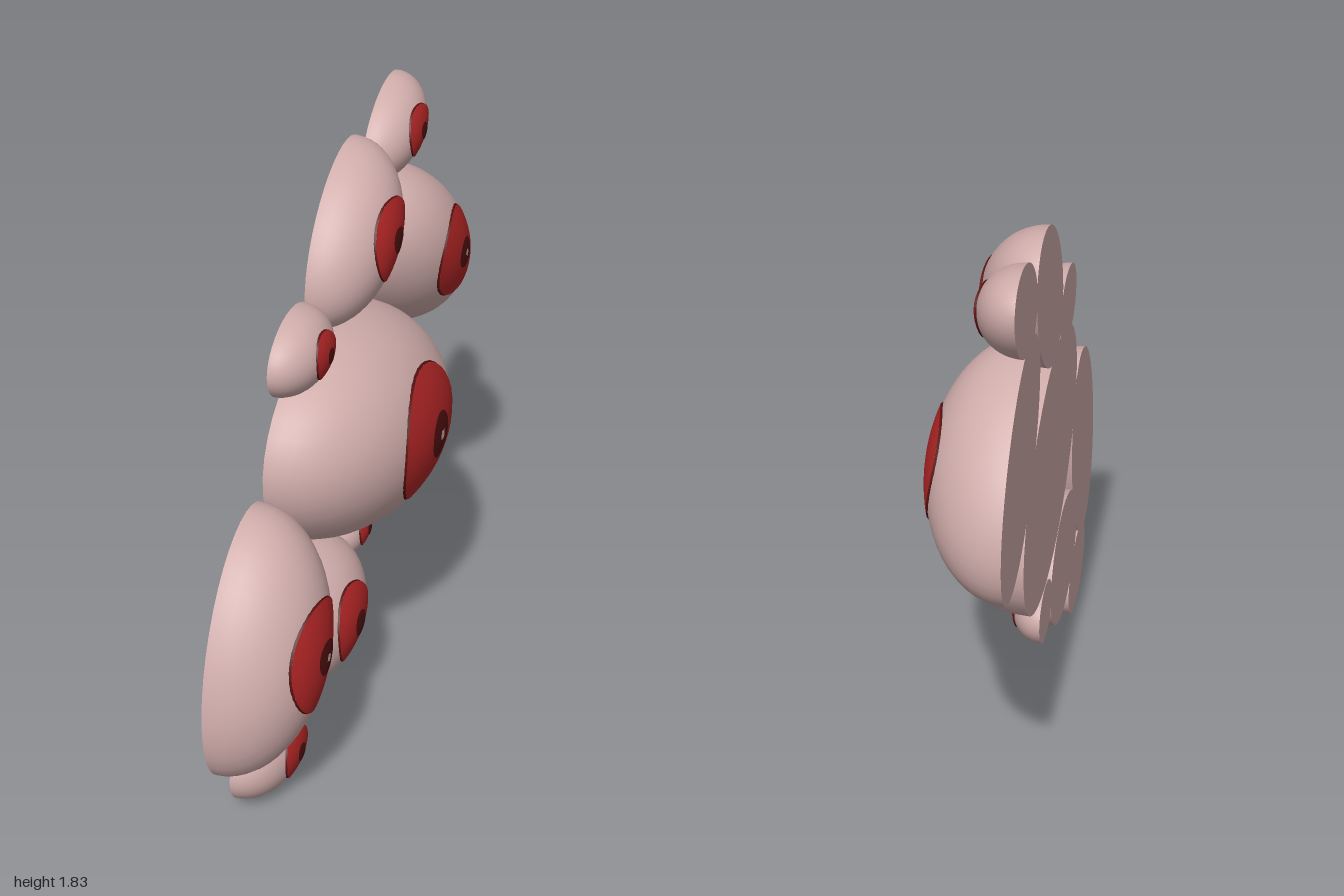
import * as THREE from 'three';

const skin = new THREE.MeshStandardMaterial({ name: 'paleSkin', color: 0xcfacaa });
const red = new THREE.MeshStandardMaterial({ name: 'irisRed', color: 0xb02525 });
const maroon = new THREE.MeshStandardMaterial({ name: 'pupilMaroon', color: 0x521010 });

// z, y of the centre, long and short half-axes, tilt in degrees
const LOBES = [
  [-0.06, 0.93, 0.556, 0.356, -10],
  [0.706, 0.604, 0.407, 0.26, 65],
  [0.267, 0.404, 0.31, 0.209, 10],
  [0.615, 0.147, 0.211, 0.141, 0],
  [-0.155, 0.462, 0.136, 0.096, 15],
  [0.254, 1.325, 0.179, 0.121, 5],
  [-0.144, 1.524, 0.31, 0.193, 41],
  [-0.666, 1.254, 0.383, 0.249, -41],
  [-0.596, 1.687, 0.211, 0.128, 25],
];

function add(group, name, geometry, material) {
  const mesh = new THREE.Mesh(geometry, material);
  mesh.name = name;
  group.add(mesh);
}

// Ring laid over the dome; p and q are its outer radii as shares of the half-axes
function domePatch(a, b, c, p, q, inner, rings, lift, edgeLift = lift) {
  const geo = new THREE.RingGeometry(inner, 1, 36, rings);
  const pos = geo.attributes.position;
  for (let i = 0; i < pos.count; i++) {
    const x = pos.getX(i), y = pos.getY(i);
    const h = c * Math.sqrt(1 - (x * p) ** 2 - (y * q) ** 2);
    const outer = Math.hypot(x, y) > 0.999;
    pos.setXYZ(i, x * p * a, y * q * b, h + (outer ? edgeLift : lift));
  }
  geo.computeVertexNormals();
  return geo;
}

function makeLobe(a, b) {
  const lobe = new THREE.Group();
  const c = b * 1.025;
  // Half ellipsoid, closed by a flat back
  const dome = new THREE.SphereGeometry(1, 40, 14, 0, Math.PI * 2, 0, Math.PI / 2);
  add(lobe, 'dome', dome.rotateX(Math.PI / 2).scale(a, b, c), skin);
  const back = new THREE.CircleGeometry(1, 40).rotateY(Math.PI).scale(a, b, 1);
  add(lobe, 'flatBack', back, skin);
  // Eye: iris with a dark edge, pupil and glint
  const ia = 0.43 * a, ib = 0.61 * b;
  const pupil = 0.33 * (ia + ib) / 2;
  add(lobe, 'iris', domePatch(a, b, c, 0.42, 0.595, 0, 8, 0.005), red);
  add(lobe, 'irisEdge', domePatch(a, b, c, 0.43, 0.61, 0.976, 1, 0.005, -0.003), maroon);
  add(lobe, 'pupil', domePatch(a, b, c, pupil / a, pupil / b, 0, 3, 0.008), maroon);
  if (b > 0.24) {
    const size = 0.085 * b;
    const glint = new THREE.PlaneGeometry(size, size).translate(0, 0, c + 0.011);
    add(lobe, 'glint', glint, skin);
  }
  return lobe;
}

export function createModel() {
  const model = new THREE.Group();
  model.name = 'eyeCluster';
  // Lobes are laid out facing +z, then the whole cluster is turned to +x
  const cluster = new THREE.Group();
  cluster.name = 'lobes';
  cluster.rotation.y = Math.PI / 2;
  cluster.position.x = -0.19;
  LOBES.forEach(([z, y, a, b, tilt], i) => {
    const lobe = makeLobe(a, b);
    lobe.name = 'eyeLobe' + (i + 1);
    lobe.position.set(-z, y, 0);
    lobe.rotation.z = THREE.MathUtils.degToRad(tilt);
    cluster.add(lobe);
  });
  model.add(cluster);
  return model;
}
